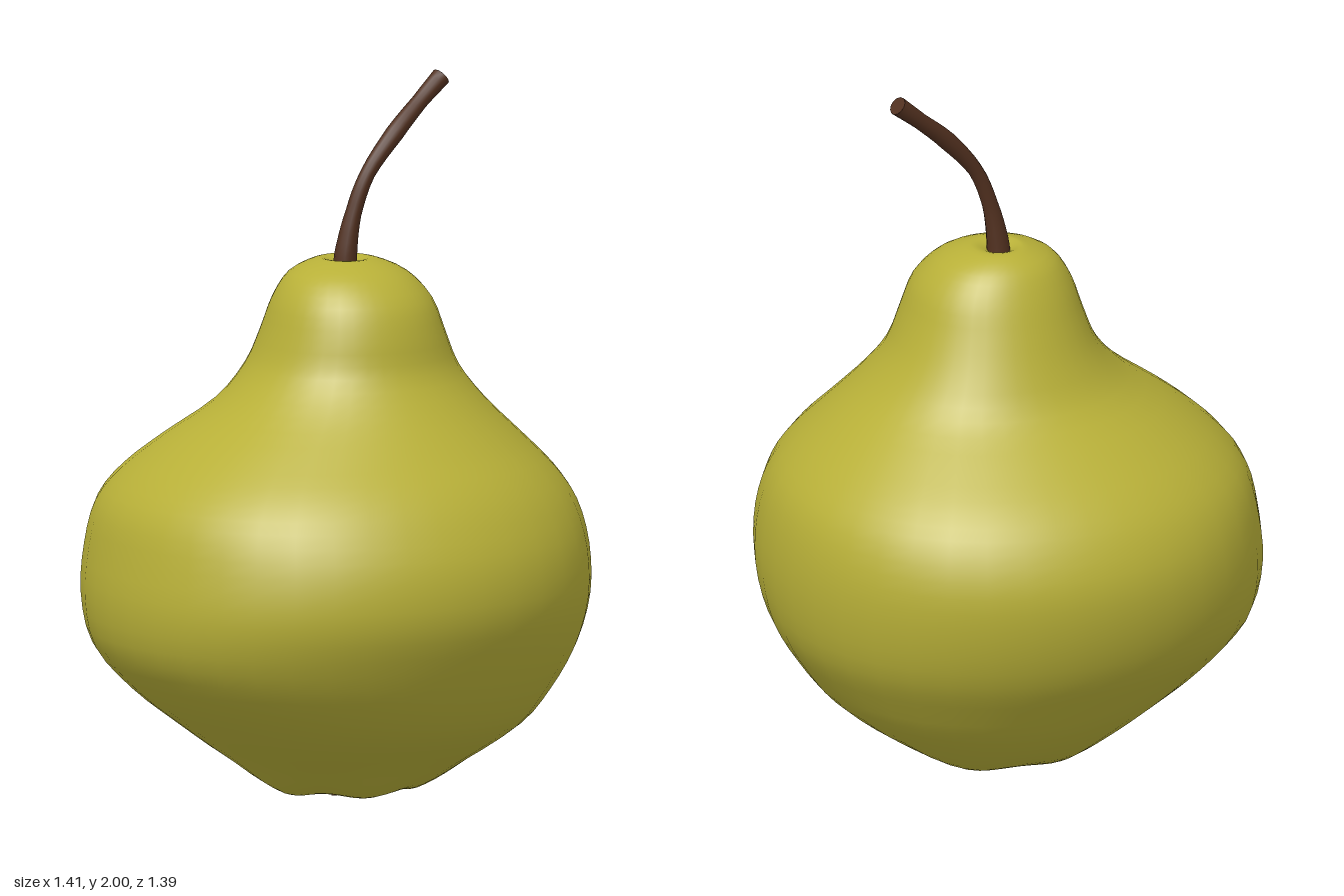
import * as THREE from 'three';

const skin = new THREE.MeshStandardMaterial({ color: 0xb8b038 });
skin.name = 'pearGreen';
const bark = new THREE.MeshStandardMaterial({ color: 0x51301f, side: THREE.DoubleSide });
bark.name = 'stemBrown';

// Closed rings of points joined into one smooth surface, listed from bottom to top
function loft(rings) {
  const n = rings[0].length, pos = [], index = [];
  rings.forEach((ring) => ring.forEach((p) => pos.push(p.x, p.y, p.z)));
  for (let i = 0; i < rings.length - 1; i++) {
    for (let j = 0; j < n; j++) {
      const a = i * n + j, b = i * n + (j + 1) % n;
      index.push(a, a + n, b, b, a + n, b + n);
    }
  }
  const g = new THREE.BufferGeometry();
  g.setAttribute('position', new THREE.Float32BufferAttribute(pos, 3));
  g.setIndex(index);
  g.computeVertexNormals();
  return g;
}

// Body sections: height, then reach towards +x, -x, +z, -z
const sections = [
  [0.075, 0.042, -0.038, 0.04, -0.04],
  [0.06, 0.1, -0.07, 0.08, -0.08],
  [0.02, 0.15, -0.1, 0.12, -0.13],
  [0.0, 0.21, -0.15, 0.17, -0.19],
  [0.03, 0.29, -0.21, 0.23, -0.27],
  [0.1, 0.39, -0.3, 0.33, -0.37],
  [0.2, 0.52, -0.44, 0.48, -0.48],
  [0.3, 0.6, -0.57, 0.57, -0.56],
  [0.42, 0.67, -0.675, 0.64, -0.64],
  [0.56, 0.7, -0.705, 0.695, -0.685],
  [0.7, 0.698, -0.69, 0.69, -0.692],
  [0.82, 0.67, -0.66, 0.64, -0.65],
  [0.91, 0.61, -0.59, 0.575, -0.58],
  [1.0, 0.52, -0.48, 0.48, -0.47],
  [1.1, 0.415, -0.34, 0.38, -0.345],
  [1.2, 0.34, -0.25, 0.305, -0.285],
  [1.3, 0.295, -0.21, 0.28, -0.24],
  [1.39, 0.26, -0.18, 0.245, -0.2],
  [1.46, 0.2, -0.13, 0.175, -0.155],
  [1.495, 0.125, -0.05, 0.09, -0.1],
  [1.495, 0.085, -0.02, 0.05, -0.06],
  [1.47, 0.04, 0.02, 0.01, -0.02],
];

function bodyGeometry() {
  const line = (k) => new THREE.CatmullRomCurve3(
    sections.map((s) => new THREE.Vector3(s[k], s[0], s[k + 1])), false, 'catmullrom', 0.5);
  const across = line(1), along = line(3);
  const rows = 63, cols = 40, rings = [];
  for (let i = 0; i <= rows; i++) {
    const u = across.getPoint(i / rows), w = along.getPoint(i / rows), ring = [];
    const lump = 0.007 * Math.max(0, 1 - u.y / 0.12);
    for (let j = 0; j < cols; j++) {
      const a = (j / cols) * Math.PI * 2;
      const swell = 1 + 0.02 * Math.sin(2 * a) ** 2;
      ring.push(new THREE.Vector3(
        (u.x + u.z) / 2 + (u.x - u.z) / 2 * Math.cos(a) * swell,
        Math.max(0, u.y) + lump * (1 + Math.cos(5 * a + 1)),
        (w.x + w.z) / 2 + (w.x - w.z) / 2 * Math.sin(a) * swell));
    }
    rings.push(ring);
  }
  return loft(rings);
}

// Stem: centre line and thickness, thin in the middle and thicker at both ends
function stemGeometry() {
  const path = new THREE.CatmullRomCurve3([
    [0.03, 1.45, -0.005], [0.035, 1.52, -0.003], [0.055, 1.62, 0], [0.1, 1.73, 0],
    [0.19, 1.835, -0.012], [0.28, 1.915, -0.035], [0.355, 1.978, -0.05],
  ].map((p) => new THREE.Vector3(...p)), false, 'catmullrom', 0.5);
  const radii = [0.035, 0.031, 0.023, 0.021, 0.026, 0.023, 0.027];
  const rows = 24, cols = 12, rings = [];
  for (let i = 0; i <= rows; i++) {
    const t = i / rows, f = t * (radii.length - 1), k = Math.min(Math.floor(f), radii.length - 2);
    const r = THREE.MathUtils.lerp(radii[k], radii[k + 1], f - k);
    const c = path.getPoint(t), d = path.getTangent(t);
    const side = new THREE.Vector3(0, 0, 1);
    side.addScaledVector(d, -side.dot(d)).normalize();
    const out = new THREE.Vector3().crossVectors(d, side).normalize();
    rings.push(Array.from({ length: cols }, (_, j) => {
      const a = (j / cols) * Math.PI * 2;
      return c.clone().addScaledVector(out, r * Math.cos(a)).addScaledVector(side, r * Math.sin(a));
    }));
  }
  return { geometry: loft(rings), end: path.getPoint(1), dir: path.getTangent(1) };
}

function add(parent, name, geometry, material) {
  const mesh = new THREE.Mesh(geometry, material);
  mesh.name = name;
  parent.add(mesh);
  return mesh;
}

export function createModel() {
  const pear = new THREE.Group();
  pear.name = 'pear';
  add(pear, 'body', bodyGeometry(), skin);

  const stem = stemGeometry();
  add(pear, 'stem', stem.geometry, bark);
  const cap = add(pear, 'stemEnd', new THREE.CircleGeometry(0.027, 12), bark);
  cap.position.copy(stem.end);
  cap.quaternion.setFromUnitVectors(new THREE.Vector3(0, 0, 1), stem.dir);

  // Dried blossom end: dark floor in the hollow with five curled sepals
  const blossom = new THREE.Group();
  blossom.name = 'blossomEnd';
  blossom.position.set(0.015, 0.055, 0);
  pear.add(blossom);
  add(blossom, 'blossomFloor', new THREE.CircleGeometry(0.085, 16), bark).rotation.x = Math.PI / 2;
  const lengths = [0.13, 0.1, 0.12, 0.09, 0.11];
  lengths.forEach((len, i) => {
    const g = new THREE.PlaneGeometry(len, 0.05, 5, 2).rotateX(Math.PI / 2);
    const p = g.attributes.position;
    for (let k = 0; k < p.count; k++) {
      const t = p.getX(k) / len + 0.5;
      p.setXYZ(k, 0.03 + t * len, -0.055 * Math.sin(t * Math.PI * 0.6), p.getZ(k) * (1 - 0.9 * t));
    }
    g.computeVertexNormals();
    add(blossom, 'sepal', g, bark).rotation.y = i * Math.PI * 0.4 + 0.3;
  });
  return pear;
}
